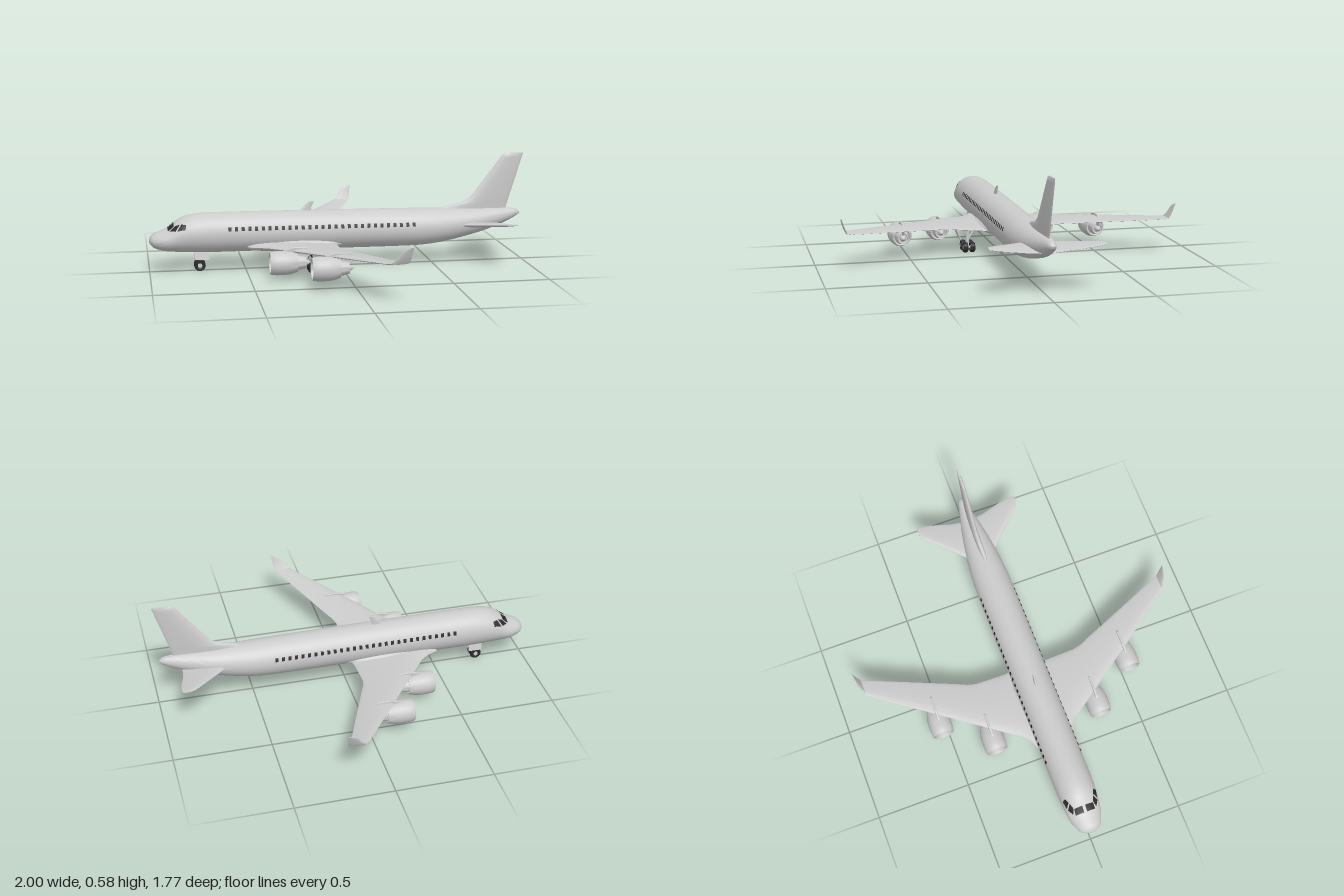
import * as THREE from 'three';
import { mergeGeometries, toCreasedNormals } from 'three/addons/utils/BufferGeometryUtils.js';

const grey = new THREE.MeshStandardMaterial({ color: 0xcccccc });
const dark = new THREE.MeshStandardMaterial({ color: 0x2b2b2b });
const glass = new THREE.MeshStandardMaterial({ color: 0x2b2b2b, side: THREE.DoubleSide });

function add(parent, name, geometry, material = grey, x = 0, y = 0, z = 0) {
  const m = new THREE.Mesh(geometry, material);
  m.name = name;
  m.position.set(x, y, z);
  parent.add(m);
  return m;
}

// Closed skin through rings of equal length, capped at both ends
function loft(rings, crease = 0.6) {
  const n = rings[0].length, pos = rings.flat(2), idx = [];
  for (let i = 0; i < rings.length - 1; i++)
    for (let j = 0; j < n; j++) {
      const a = i * n + j, b = i * n + (j + 1) % n;
      idx.push(a, b, a + n, b, b + n, a + n);
    }
  const last = (rings.length - 1) * n;
  for (let j = 1; j < n - 1; j++) idx.push(0, j + 1, j, last, last + j, last + j + 1);
  // turn the faces outward if the enclosed volume is negative
  let volume = 0;
  const v = i => new THREE.Vector3().fromArray(pos, idx[i] * 3);
  for (let i = 0; i < idx.length; i += 3) volume += v(i).dot(v(i + 1).cross(v(i + 2)));
  if (volume < 0) idx.reverse();
  const g = new THREE.BufferGeometry();
  g.setAttribute('position', new THREE.Float32BufferAttribute(pos, 3));
  g.setIndex(idx);
  return toCreasedNormals(g, crease);
}

// Aerofoil ring: leading x, trailing x, y, z, thickness, tilt of the thickness direction
function foil([le, te, y, z, t, tilt = 0]) {
  return Array.from({ length: 24 }, (_, k) => {
    const a = k / 24 * Math.PI * 2;
    const h = t * 0.47 * Math.sin(a) * (1 - 0.4 * Math.cos(a));
    return [le + (te - le) * (1 + Math.cos(a)) / 2, y + h * Math.cos(tilt), z - h * Math.sin(tilt)];
  });
}
// One span from the right tip to the left tip
const span = half => loft([
  ...half.filter(s => s[3] > 0).map(([l, t, y, z, h, a = 0]) => [l, t, y, -z, h, -a]).reverse(), ...half].map(foil));

// Fuselage stations: x, top, bottom, half width
const stations = [
  [-1, .172, .158, .012], [-.992, .188, .144, .038], [-.975, .203, .128, .058], [-.93, .221, .113, .079],
  [-.9, .236, .108, .087], [-.86, .267, .104, .092], [-.82, .289, .101, .096], [-.76, .301, .098, .099],
  [-.66, .305, .096, .1], [0, .3, .095, .1], [.4, .295, .095, .1], [.5, .292, .102, .098], [.6, .29, .118, .09],
  [.7, .287, .141, .077], [.8, .285, .168, .058], [.9, .282, .205, .035], [.96, .276, .235, .02], [.982, .262, .25, .007]];

function section(x) {
  const s = stations, last = s.length - 1;
  let i = 0;
  while (i < last - 1 && x > s[i + 1][0]) i++;
  const w = s[i + 1][0] - s[i][0], u = (x - s[i][0]) / w;
  const slope = (k, c) => {
    const a = s[Math.max(k - 1, 0)], b = s[Math.min(k + 1, last)];
    return (b[c] - a[c]) / (b[0] - a[0]) * w;
  };
  return [1, 2, 3].map(c => (2 * u ** 3 - 3 * u * u + 1) * s[i][c] + (u ** 3 - 2 * u * u + u) * slope(i, c)
    + (3 * u * u - 2 * u ** 3) * s[i + 1][c] + (u ** 3 - u * u) * slope(i + 1, c));
}
function skin(x, angle, lift = 0, side = 1) {
  const [top, bottom, half] = section(x);
  return [x, (top + bottom) / 2 + ((top - bottom) / 2 + lift) * Math.sin(angle), side * (half + lift) * Math.cos(angle)];
}

// Pane lying on the fuselage; corners are [x, degrees above the side]
function pane(corners, side, n) {
  const g = new THREE.PlaneGeometry(1, 1, n, n), p = g.attributes.position;
  for (let i = 0; i < p.count; i++) {
    const u = p.getX(i) + .5, v = p.getY(i) + .5;
    const mix = k => (corners[0][k] * (1 - u) + corners[1][k] * u) * (1 - v) + (corners[3][k] * (1 - u) + corners[2][k] * u) * v;
    p.setXYZ(i, ...skin(mix(0), THREE.MathUtils.degToRad(mix(1)), .0015, side));
  }
  g.computeVertexNormals();
  return g;
}

function rod(parent, name, a, b, r) {
  const from = new THREE.Vector3(...a), to = new THREE.Vector3(...b), d = to.clone().sub(from);
  const m = add(parent, name, new THREE.CylinderGeometry(r, r, d.length(), 12), grey, ...from.add(to).multiplyScalar(.5));
  m.quaternion.setFromUnitVectors(new THREE.Vector3(0, 1, 0), d.normalize());
}

const lathe = (pts, n = 32) => toCreasedNormals(new THREE.LatheGeometry(pts.map(p => new THREE.Vector2(...p)), n), .7);

function wheel(parent, x, y, z, r, w) {
  const tyre = lathe([[0, -w * .4], [r * .5, -w * .4], [r * .6, -w / 2], [r * .85, -w / 2], [r, -w * .25],
    [r, w * .25], [r * .85, w / 2], [r * .6, w / 2], [r * .5, w * .4], [0, w * .4]], 24).rotateX(Math.PI / 2);
  add(parent, 'tyre', tyre, dark, x, y, z);
  add(parent, 'hub', new THREE.CylinderGeometry(r * .4, r * .4, w * .95, 16).rotateX(Math.PI / 2), grey, x, y, z);
}

function engine(x, y, z) {
  const g = new THREE.Group();
  g.name = 'engine';
  g.position.set(x, y, z);
  // spinner, intake, cowl and fan nozzle
  add(g, 'nacelle', lathe([[0, .012], [.008, .02], [.014, .042], [.046, .042], [.047, .012], [.05, .002], [.054, 0],
    [.058, .008], [.061, .035], [.061, .075], [.058, .105], [.048, .14], [.044, .14], [.04, .125], [.03, .125]]).rotateZ(-Math.PI / 2));
  add(g, 'exhaustCore', lathe([[.036, .11], [.037, .15], [.029, .185], [.025, .185], [.022, .175], [.017, .175], [.012, .195], [0, .212]])
    .rotateZ(-Math.PI / 2));
  add(g, 'fanDisc', new THREE.CylinderGeometry(.046, .046, .002, 32).rotateZ(Math.PI / 2), dark, .041);
  const blades = Array.from({ length: 18 }, (_, i) =>
    new THREE.BoxGeometry(.003, .032, .007).rotateY(.5).translate(.036, .029, 0).rotateX(i / 18 * Math.PI * 2));
  add(g, 'fanBlades', mergeGeometries(blades));
  const shape = new THREE.Shape([[.05, .045], [.08, .066], [.12, .076], [.19, .075], [.215, .06], [.19, .02], [.1, .02]]
    .map(p => new THREE.Vector2(...p)));
  add(g, 'pylon', new THREE.ExtrudeGeometry(shape, { depth: .008, bevelSize: .002, bevelThickness: .002, bevelSegments: 1 })
    .translate(0, 0, -.004));
  return g;
}

export function createModel() {
  const plane = new THREE.Group();
  plane.name = 'airliner';

  // Fuselage with stations packed closer at the ends
  const rings = [];
  for (let i = 0; i <= 90; i++) {
    const x = -.009 - .991 * Math.cos(i / 90 * Math.PI);
    rings.push(Array.from({ length: 40 }, (_, j) => skin(x, j / 40 * Math.PI * 2)));
  }
  add(plane, 'fuselage', loft(rings, 1));
  add(plane, 'bellyFairing', new THREE.SphereGeometry(1, 32, 16).scale(.3, .042, .112), grey, -.22, .134, 0);

  // Cabin and cockpit windows
  const cabin = [], cockpit = [];
  for (const side of [1, -1]) {
    for (let i = 0; i < 29; i++) {
      const x = -.588 + i * .0347;
      cabin.push(pane([[x - .008, 11], [x + .008, 11], [x + .008, 23], [x - .008, 23]], side, 2));
    }
    for (const c of [
      [[-.905, 85], [-.903, 53], [-.873, 56], [-.873, 85]],
      [[-.895, 46], [-.865, 30], [-.842, 48], [-.868, 54]],
      [[-.856, 27], [-.815, 22], [-.81, 38], [-.835, 46]]]) cockpit.push(pane(c, side, 6));
  }
  add(plane, 'cabinWindows', mergeGeometries(cabin), glass);
  add(plane, 'cockpitWindows', mergeGeometries(cockpit), glass);

  // Wings with upturned tips
  add(plane, 'wings', span([
    [-.53, -.02, .128, 0, .05], [-.49, -.025, .13, .09, .046], [-.44, -.03, .132, .115, .043], [-.39, -.03, .135, .155, .038],
    [-.302, -.03, .147, .28, .03], [-.27, -.02, .151, .325, .027], [-.235, .002, .155, .375, .025], [.085, .183, .19, .83, .012],
    [.105, .193, .195, .852, .011, .5], [.13, .199, .215, .863, .009, 1.2], [.15, .204, .25, .875, .008, 1.3],
    [.165, .207, .265, .88, .007, 1.3], [.192, .209, .276, .884, .004, 1.3]]));

  // Tail surfaces
  add(plane, 'tailplane', span([[.57, .865, .2, 0, .028], [.66, .873, .209, .09, .025], [.765, .898, .227, .2, .018],
    [.812, .903, .235, .25, .014], [.835, .903, .239, .272, .011], [.86, .898, .241, .285, .006]]));
  const up = Math.PI / 2;
  add(plane, 'fin', loft([[.52, .905, .27, 0, .032, up], [.575, .912, .3, 0, .03, up], [.66, .918, .318, 0, .029, up],
    [.712, .927, .348, 0, .028, up], [.872, .992, .556, 0, .02, up], [.885, .997, .572, 0, .017, up],
    [.905, .999, .579, 0, .01, up]].map(foil)));
  add(plane, 'antenna', loft([[-.22, -.14, .29, 0, .018, up], [-.2, -.152, .312, 0, .015, up],
    [-.165, -.137, .348, 0, .008, up]].map(foil)));

  // Four engines, the outer pair set further back and higher
  for (const s of [1, -1]) plane.add(engine(-.405, .09, s * .297), engine(-.225, .108, s * .533));

  // Nose gear
  const nose = new THREE.Group();
  nose.name = 'noseGear';
  plane.add(nose);
  rod(nose, 'strut', [-.74, .03, 0], [-.73, .11, 0], .008);
  rod(nose, 'axle', [-.74, .03, -.018], [-.74, .03, .018], .005);
  for (const s of [1, -1]) {
    wheel(nose, -.74, .03, s * .017, .03, .022);
    add(nose, 'gearDoor', new THREE.BoxGeometry(.075, .042, .004), grey, -.73, .083, s * .036).rotation.x = -s * .2;
  }

  // Main gear, four wheels on each side
  for (const s of [1, -1]) {
    const gear = new THREE.Group();
    gear.name = 'mainGear';
    plane.add(gear);
    for (const x of [-.167, -.106]) {
      for (const z of [.149, .187]) wheel(gear, x, .029, s * z, .028, .025);
      rod(gear, 'axle', [x, .029, s * .145], [x, .029, s * .19], .005);
    }
    rod(gear, 'bogieBeam', [-.167, .029, s * .168], [-.106, .029, s * .168], .007);
    rod(gear, 'strut', [-.136, .03, s * .168], [-.136, .135, s * .168], .009);
    rod(gear, 'sideBrace', [-.136, .065, s * .168], [-.136, .125, s * .125], .005);
    rod(gear, 'dragBrace', [-.136, .065, s * .168], [-.19, .125, s * .168], .005);
    add(gear, 'gearDoor', new THREE.BoxGeometry(.08, .06, .004), grey, -.136, .098, s * .222).rotation.x = s * .4;
  }
  return plane;
}
